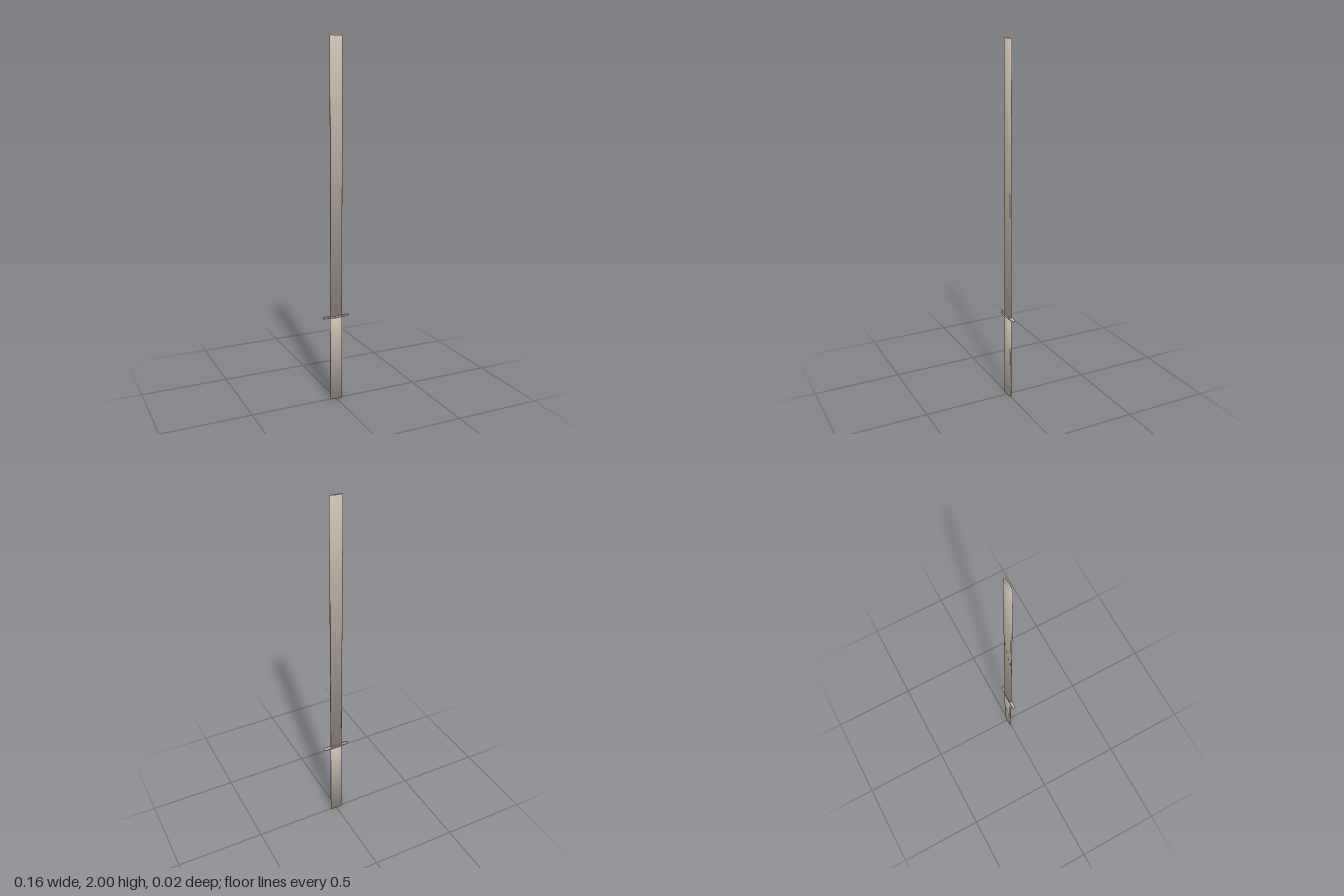
import * as THREE from 'three';

const steel = new THREE.MeshStandardMaterial({ color: 0xc0b3a6 });
steel.name = 'warm grey';

// Full outline in x and z, mirrored from one quarter running from the edge to the ridge
function mirrorOutline(quarter) {
  const half = [...quarter, ...quarter.slice(0, -1).reverse().map(([x, z]) => [-x, z])];
  return [...half, ...half.map(([x, z]) => [-x, -z])];
}

// Upright prism whose soft normals blend its sides into its end caps
function softPrism(name, quarter, y0, y1) {
  const outline = mirrorOutline(quarter);
  const n = outline.length;
  const edgeNormal = (i) => {
    const [ax, az] = outline[(i + n) % n];
    const [bx, bz] = outline[(i + 1) % n];
    return new THREE.Vector3(bz - az, 0, ax - bx).normalize();
  };
  const positions = [], normals = [], index = [];
  for (const [y, tilt] of [[y0, -1], [y1, 1]]) {
    outline.forEach(([x, z], i) => {
      positions.push(x, y, z);
      const normal = edgeNormal(i - 1).add(edgeNormal(i)).normalize();
      normal.y = tilt;
      normals.push(...normal.normalize().toArray());
    });
  }
  for (let i = 0; i < n; i++) {
    const j = (i + 1) % n;
    index.push(i, n + i, n + j, i, n + j, j);
    if (i > 0 && i < n - 1) index.push(0, i, j, n, n + j, n + i);
  }
  const geometry = new THREE.BufferGeometry();
  geometry.setAttribute('position', new THREE.Float32BufferAttribute(positions, 3));
  geometry.setAttribute('normal', new THREE.Float32BufferAttribute(normals, 3));
  geometry.setIndex(index);
  const mesh = new THREE.Mesh(geometry, steel);
  mesh.name = name;
  return mesh;
}

export function createModel() {
  const model = new THREE.Group();
  model.name = 'sword';

  // Blade and grip share one slim ridged section
  const slim = [[0.035, 0.003], [0.033, 0.0055], [0, 0.009]];
  // Wide crossguard with rounded ends
  const wide = [[0.078, 0.003], [0.0765, 0.006], [0.072, 0.008], [0, 0.011]];

  model.add(
    softPrism('grip', slim, 0, 0.486),
    softPrism('crossguard', wide, 0.485, 0.493),
    softPrism('blade', slim, 0.492, 2),
  );
  return model;
}
